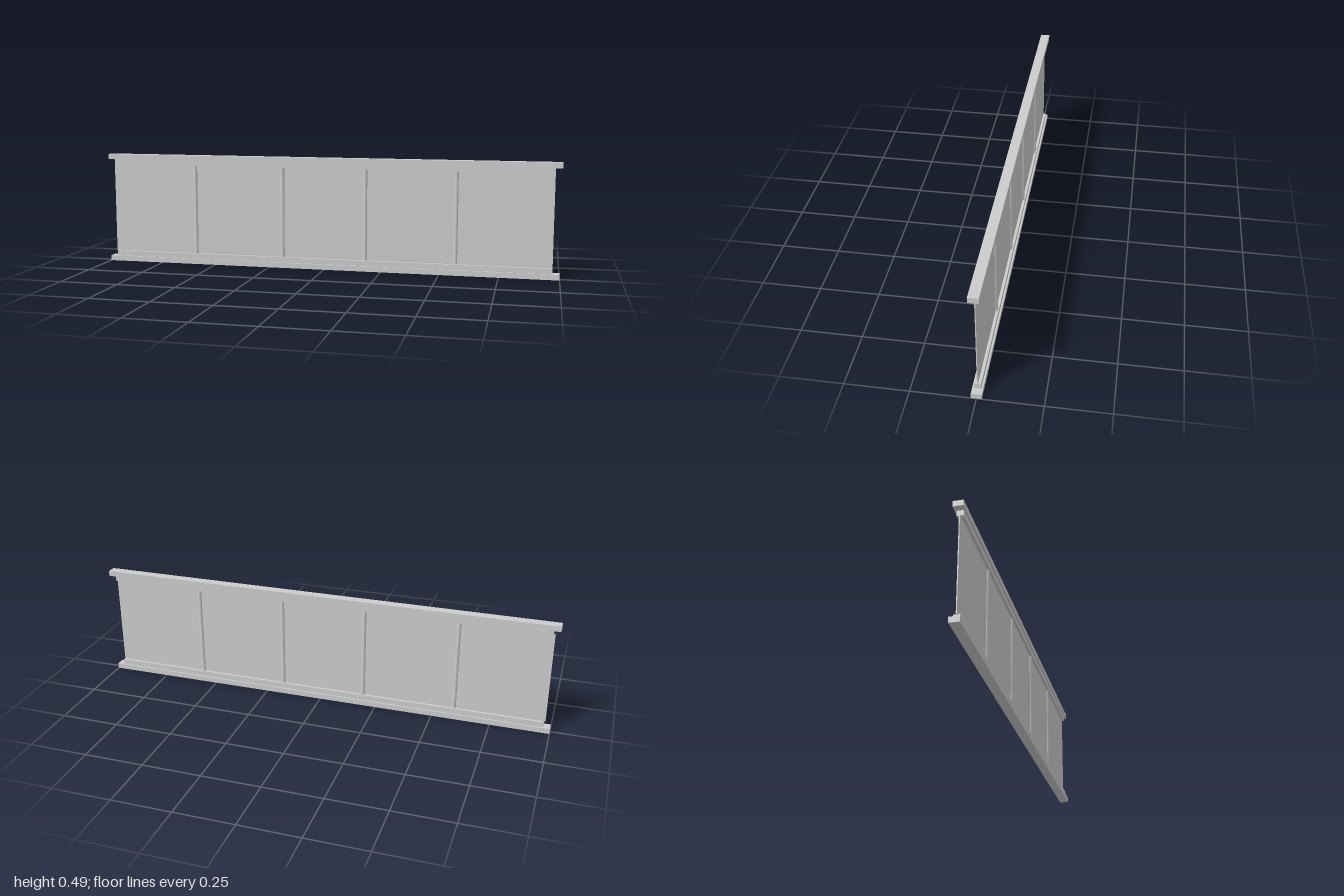
import * as THREE from 'three';

export function createModel() {
  const group = new THREE.Group();
  const material = new THREE.MeshStandardMaterial({ color: 0xcccccc });
  const height = 0.488;

  function add(name, geometry, x, y, z = 0) {
    const mesh = new THREE.Mesh(geometry, material);
    mesh.name = name;
    mesh.position.set(x, y, z);
    group.add(mesh);
  }

  // Stepped rails, mirrored from bottom to top
  const outerRail = new THREE.BoxGeometry(2, 0.023, 0.041);
  const innerRail = new THREE.BoxGeometry(1.942, 0.023, 0.027);
  for (const [side, place] of [['bottom', y => y], ['top', y => height - y]]) {
    add(side + 'OuterRail', outerRail, 0, place(0.0115));
    add(side + 'InnerRail', innerRail, 0, place(0.0345));
  }

  // Thin infill panel between the rails
  add('panel', new THREE.BoxGeometry(1.949, 0.4, 0.004), -0.0035, height / 2);

  // Slim round posts dividing the panel into bays
  const post = new THREE.CylinderGeometry(0.01, 0.01, 0.4, 16);
  [-0.592, -0.19, 0.178, 0.567].forEach((x, i) => add('post' + (i + 1), post, x, height / 2));

  return group;
}
